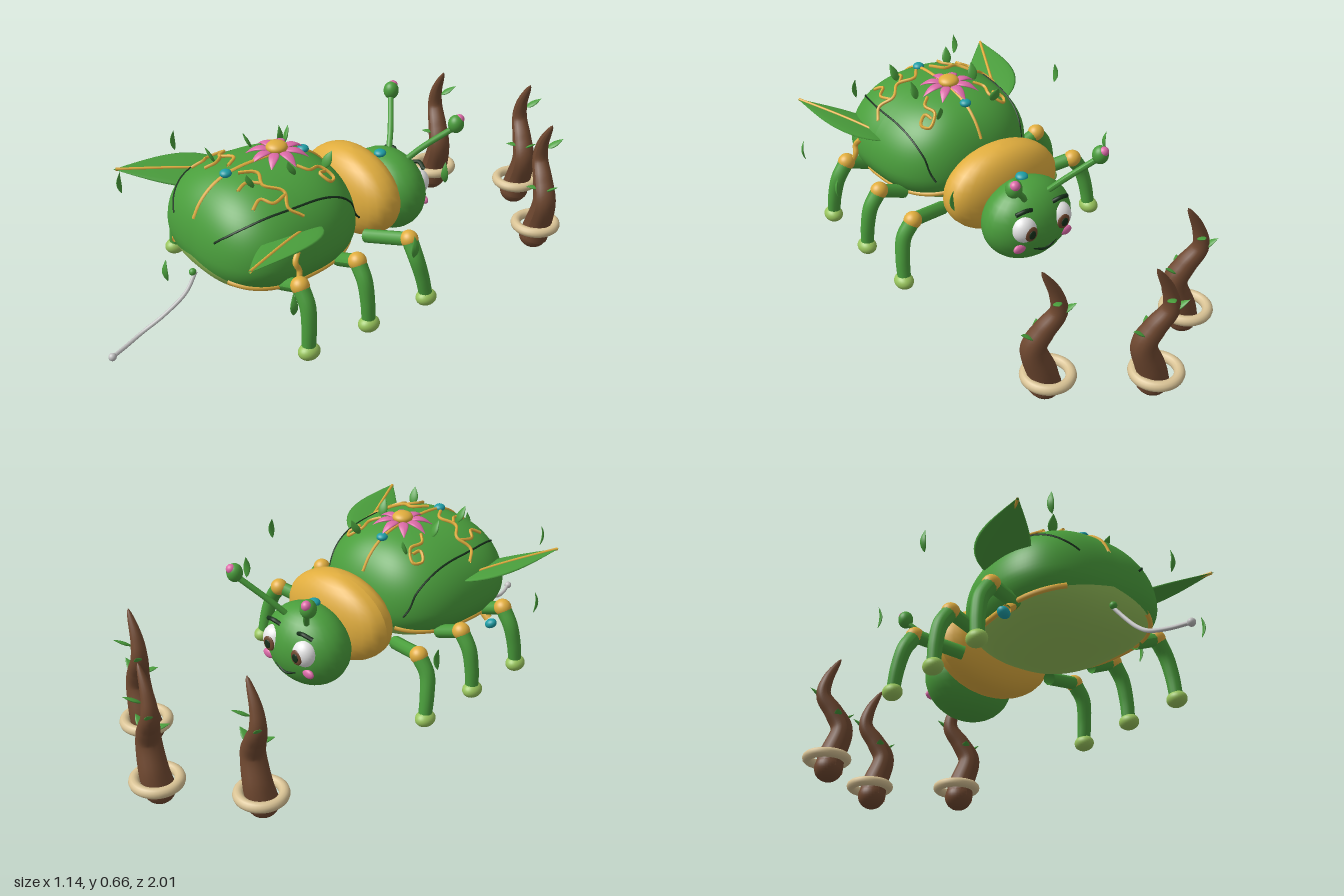
import * as THREE from 'three';

const mat = (name, color) => {
  const m = new THREE.MeshStandardMaterial({ color, side: THREE.DoubleSide });
  m.name = name;
  return m;
};
const V = (x, y, z) => new THREE.Vector3(x, y, z);

export function createModel() {
  const root = new THREE.Group();
  root.name = 'gardenBeetle';
  const green = mat('leaf green', 0x4a9e3c), dark = mat('dark green', 0x16301a), light = mat('light green', 0x98c45c),
    gold = mat('gold', 0xe0ad3e), pink = mat('pink', 0xdc6aa8), teal = mat('teal', 0x1e9ea6),
    brown = mat('brown', 0x6f4830), beige = mat('beige', 0xd8c294), white = mat('white', 0xf2f2f2), silver = mat('silver', 0xc2c2c2);

  const add = (name, geo, m, parent = root) => {
    const mesh = new THREE.Mesh(geo, m);
    mesh.name = name;
    parent.add(mesh);
    return mesh;
  };
  const ball = (name, m, p, rx, ry = rx, rz = rx, parent = root) => {
    const b = add(name, new THREE.SphereGeometry(1, 28, 18), m, parent);
    b.position.set(...p);
    b.scale.set(rx, ry, rz);
    return b;
  };
  // Round tube through points, optionally tapered by a radius rule r(t)
  const tube = (name, m, pts, r, parent = root, seg = 32, sides = 10) => {
    const curve = new THREE.CatmullRomCurve3(pts.map(p => (p.isVector3 ? p : V(...p))));
    const rule = typeof r === 'function' ? r : () => r;
    const g = new THREE.TubeGeometry(curve, seg, 1, sides);
    const pos = g.attributes.position, q = V(0, 0, 0);
    for (let i = 0; i < pos.count; i++) {
      const t = Math.floor(i / (sides + 1)) / seg, c = curve.getPointAt(t);
      q.fromBufferAttribute(pos, i).sub(c).multiplyScalar(rule(t)).add(c);
      pos.setXYZ(i, q.x, q.y, q.z);
    }
    g.computeVertexNormals();
    return add(name, g, m, parent);
  };
  // Pointed lens from a to b, flattened along the normal n; the bent one arches along n
  const swell = (t, k) => Math.sin(Math.PI * Math.pow(t, k));
  const lens = k => new THREE.LatheGeometry(Array.from({ length: 15 }, (_, i) => new THREE.Vector2(Math.max(1e-4, swell(i / 14, k)), i / 14)), 16);
  const leafGeo = lens(0.8), wingGeo = lens(0.68), bentGeo = lens(0.8);
  const bp = bentGeo.attributes.position;
  for (let i = 0; i < bp.count; i++) bp.setZ(i, bp.getZ(i) + 2.4 * Math.sin(Math.PI * bp.getY(i)));
  bentGeo.computeVertexNormals();
  const leaf = (name, m, a, b, n, width, thick, parent = root, geo = leafGeo) => {
    const A = V(...a), d = V(...b).sub(A), len = d.length();
    d.normalize();
    const side = d.clone().cross(V(...n)).normalize(), nn = side.clone().cross(d).normalize();
    const l = add(name, geo, m, parent);
    l.quaternion.setFromRotationMatrix(new THREE.Matrix4().makeBasis(side, d, nn));
    l.position.copy(A);
    l.scale.set(width / 2, len, thick / 2);
    return l;
  };

  // Body surface: u runs round the plan, phi runs from belly to back
  const CY = 0.38, CZ = 0.355, AX = 0.31, AZ = 0.3, N = 2.6, UP = 0.24, DOWN = 0.17;
  const wide = zn => 1 + 0.07 * zn;
  const cx = phi => Math.pow(Math.max(Math.cos(phi), 0), 0.92), cz = phi => Math.pow(Math.max(Math.cos(phi), 0), 0.65);
  const pw = v => Math.sign(v) * Math.pow(Math.abs(v), 2 / N);
  const bodyPoint = (u, phi) => {
    const zn = pw(Math.sin(u));
    return V(AX * pw(Math.cos(u)) * wide(zn) * cx(phi), CY + (phi > 0 ? UP : DOWN) * Math.sin(phi), CZ + AZ * zn * cz(phi));
  };
  const border = u => Math.asin((-0.03 - 0.06 * Math.abs(pw(Math.cos(u)))) / DOWN);
  const shell = (from, to) => {
    const U = 96, W = 28, pos = [], idx = [];
    for (let j = 0; j <= W; j++) for (let i = 0; i <= U; i++) {
      const u = (i / U) * Math.PI * 2, a = from(u), b = to(u);
      pos.push(...bodyPoint(u, a + ((b - a) * j) / W).toArray());
    }
    for (let j = 0; j < W; j++) for (let i = 0; i < U; i++) {
      const a = j * (U + 1) + i, b = a + U + 1;
      idx.push(a, b, a + 1, b, b + 1, a + 1);
    }
    const g = new THREE.BufferGeometry();
    g.setAttribute('position', new THREE.Float32BufferAttribute(pos, 3));
    g.setIndex(idx);
    g.computeVertexNormals();
    return g;
  };
  add('wingCase', shell(border, () => Math.PI / 2), green);
  add('belly', shell(() => -Math.PI / 2, border), light);

  // Lifts a plan point onto the back
  const onBack = (x, z, lift = 0.004) => {
    let lo = 0, hi = Math.PI / 2;
    for (let i = 0; i < 30; i++) {
      const p = (lo + hi) / 2, zn = (z - CZ) / (AZ * cz(p));
      const f = Math.pow(Math.abs(x / (AX * wide(zn) * cx(p))), N) + Math.pow(Math.abs(zn), N);
      if (f < 1) lo = p; else hi = p;
    }
    return V(x, CY + UP * Math.sin(lo) + lift, z);
  };
  const backTube = (name, m, plan, r, lift) => {
    const flat = new THREE.CatmullRomCurve3(plan.map(([x, z]) => V(x, 0, z)));
    return tube(name, m, flat.getSpacedPoints(24).map(p => onBack(p.x, p.z, lift)), r, root, 48, 6);
  };
  backTube('centreSeam', gold, [[0, 0.08], [0, 0.35], [0, 0.635]], 0.006, 0.002);

  for (const s of [-1, 1]) {
    // Seams, rim and vines on the back
    const seam = [[0.195, 0.085], [0.218, 0.16], [0.23, 0.3], [0.23, 0.45], [0.205, 0.555], [0.165, 0.61], [0.125, 0.636]];
    backTube('sideSeam', dark, seam.map(([x, z]) => [s * x, z]), 0.004, 0.001);
    const rim = [];
    for (let i = 0; i <= 30; i++) {
      const u = -1.1 + (i / 30) * 2.2, p = bodyPoint(u, border(u));
      rim.push(V(s * p.x, p.y, p.z));
    }
    tube('rim', gold, rim, 0.01, root, 60, 8);
    const vines = [
      [[0.26, 0.37], [0.23, 0.41], [0.18, 0.39], [0.13, 0.44], [0.07, 0.42], [0.03, 0.47]],
      [[0.19, 0.39], [0.2, 0.45], [0.17, 0.48], [0.185, 0.52]],
      [[0.12, 0.44], [0.09, 0.48], [0.1, 0.52]],
      [[0.1, 0.28], [0.13, 0.25], [0.12, 0.2], [0.16, 0.17], [0.18, 0.2], [0.15, 0.22], [0.14, 0.19]],
    ];
    vines.forEach(v => backTube('vine', gold, v.map(([x, z]) => [s * x, z]), 0.006, 0.005));
    for (const [x, z, dx, dz] of [[0.125, 0.31, 0.008, 0.03], [0.11, 0.47, 0.015, 0.03], [0.115, 0.18, 0.012, -0.03]]) {
      const p = onBack(s * x, z);
      leaf('backLeaf', green, [p.x, p.y - 0.01, p.z], [p.x + s * dx, p.y + 0.055, p.z + dz], [s * 0.3, 0, 1], 0.036, 0.012);
    }

    // Leaf wings with a midrib
    const a = [s * 0.24, 0.46, 0.31], b = [s * 0.42, 0.515, 0.7], n = [-s * 0.28, 1, -0.05];
    leaf('leafWing', green, a, b, n, 0.19, 0.02, root, wingGeo);
    const ribPoint = t => V(...a).lerp(V(...b), t).addScaledVector(V(...n).normalize(), 0.01 * swell(t, 0.68));
    tube('wingRib', gold, [0.08, 0.25, 0.4, 0.55, 0.8, 0.98].map(ribPoint), 0.0055);

    // Legs: thigh, gold knee, bowed shin, foot
    for (const [z0, z1, z2, x0] of [[0.05, -0.01, -0.04, 0.19], [0.22, 0.22, 0.22, 0.25], [0.46, 0.46, 0.475, 0.25]]) {
      const leg = new THREE.Group();
      leg.name = 'leg';
      root.add(leg);
      const mid = V(s * x0, 0.29, z0).lerp(V(s * 0.36, 0.335, z1), 0.72).toArray();
      tube('thigh', green, [[s * x0, 0.29, z0], mid, [s * 0.36, 0.335, z1]], 0.025, leg, 8);
      ball('knee', gold, [s * 0.355, 0.334, z1], 0.033, 0.032, 0.032, leg);
      tube('shin', green, [[s * 0.362, 0.325, z1], [s * 0.395, 0.275, z1], [s * 0.412, 0.2, (z1 + z2) / 2], [s * 0.418, 0.12, z2]], t => 0.029 - 0.005 * t, leg, 20, 14);
      ball('foot', light, [s * 0.42, 0.114, z2], 0.034, 0.029, 0.04, leg);
    }

    // Antenna with a budded tip
    tube('antenna', green, [[s * 0.045, 0.43, -0.25], [s * 0.09, 0.49, -0.295], [s * 0.18, 0.585, -0.37]], 0.011);
    ball('antennaTip', green, [s * 0.182, 0.598, -0.373], 0.029, 0.034, 0.029);
    ball('antennaBud', pink, [s * 0.186, 0.615, -0.385], 0.018, 0.018, 0.018);

    // Face
    ball('eye', white, [s * 0.075, 0.345, -0.288], 0.048, 0.052, 0.044);
    ball('iris', brown, [s * 0.07, 0.34, -0.326], 0.026, 0.029, 0.008);
    ball('pupil', dark, [s * 0.07, 0.34, -0.333], 0.014, 0.017, 0.004);
    tube('brow', dark, [[s * 0.045, 0.412, -0.29], [s * 0.075, 0.422, -0.297], [s * 0.11, 0.412, -0.288]], 0.008);
    ball('cheek', pink, [s * 0.1, 0.275, -0.3], 0.026, 0.018, 0.012);
  }

  // Collar with a broad rounded rim, head and mouth
  const collar = ball('collar', gold, [0, 0.372, -0.04], 0.232, 0.163, 0.106);
  const cp = collar.geometry.attributes.position;
  for (let i = 0; i < cp.count; i++) cp.setZ(i, Math.sign(cp.getZ(i)) * Math.pow(Math.abs(cp.getZ(i)), 0.8));
  collar.geometry.computeVertexNormals();
  ball('head', green, [0, 0.318, -0.2], 0.175, 0.153, 0.128);
  tube('mouth', dark, [[-0.05, 0.265, -0.31], [0, 0.247, -0.316], [0.05, 0.265, -0.31]], 0.005);

  // Teal beads
  ball('bead', teal, [0, 0.47, -0.17], 0.023, 0.014, 0.023);
  for (const z of [0.18, 0.5]) ball('bead', teal, onBack(0, z, 0.006).toArray(), 0.021, 0.014, 0.021);

  // Flower on the back with arched petals
  for (let i = 0; i < 8; i++) {
    const c = Math.cos((i * Math.PI) / 4), d = Math.sin((i * Math.PI) / 4);
    leaf('petal', pink, [c * 0.015, 0.632, 0.29 + d * 0.015], [c * 0.112, 0.612, 0.29 + d * 0.112], [0, 1, 0], 0.036, 0.012, root, bentGeo);
  }
  ball('flowerCentre', gold, [0, 0.645, 0.29], 0.038, 0.021, 0.038);

  // Hanging charm and side tendril
  tube('charmLink', gold, [[-0.25, 0.295, 0.46], [-0.292, 0.262, 0.46]], 0.016);
  ball('charm', teal, [-0.306, 0.245, 0.46], 0.024, 0.018, 0.021).rotation.z = -0.6;
  tube('tendril', gold, [[0.305, 0.43, 0.43], [0.318, 0.4, 0.45], [0.325, 0.37, 0.44], [0.335, 0.335, 0.45]], 0.01);

  // Trailing cord
  ball('cordRoot', green, [-0.004, 0.28, 0.65], 0.013);
  tube('cord', silver, [[0, 0.28, 0.64], [0.01, 0.22, 0.69], [-0.01, 0.15, 0.77], [-0.03, 0.1, 0.85], [-0.015, 0.085, 0.92], [0.01, 0.085, 0.985]], 0.007);
  ball('cordEnd', silver, [0.01, 0.085, 0.986], 0.014);

  // Drifting leaves, each with its own facing
  for (const [x, y, z, nx, nz] of [[0.31, 0.51, -0.21, 0.5, 0.8], [-0.48, 0.39, -0.055, 1, 0.2], [0.555, 0.46, 0.145, 1, 0.3], [-0.555, 0.47, 0.37, -1, 0.3],
    [0.47, 0.37, 0.57, 1, 0.4], [-0.31, 0.52, 0.73, -0.9, 0.4], [0.11, 0.41, 0.81, 0.3, 1]])
    leaf('driftingLeaf', green, [x, y - 0.042, z], [x, y + 0.042, z], [nx, 0, nz], 0.026, 0.008, root, bentGeo);

  // Twisted roots with rings and sprouts
  for (const [x, z] of [[-0.01, -0.91], [-0.31, -0.72], [0.29, -0.72]]) {
    const g = new THREE.Group();
    g.name = 'twistedRoot';
    g.position.set(x, 0, z);
    root.add(g);
    tube('root', brown, [[0.005, 0.055, 0.01], [0.02, 0.12, 0.005], [0.05, 0.23, 0.015], [0.02, 0.3, 0], [-0.02, 0.37, -0.02], [-0.01, 0.44, -0.015], [0.04, 0.54, -0.005]],
      t => 0.055 * Math.pow(1 - t, 0.6) + 0.001, g, 48, 14);
    ball('rootFoot', brown, [0.004, 0.06, 0.01], 0.055, 0.053, 0.055, g);
    const ring = add('ring', new THREE.TorusGeometry(0.076, 0.019, 12, 40), beige, g);
    ring.rotation.x = Math.PI / 2;
    ring.position.y = 0.103;
    leaf('sprout', green, [0, 0.42, -0.03], [0.03, 0.455, -0.085], [0, 1, 0.4], 0.03, 0.01, g);
    leaf('sprout', green, [0.05, 0.27, 0.01], [0.105, 0.31, 0.01], [-0.5, 1, 0], 0.035, 0.01, g);
    leaf('sprout', green, [-0.02, 0.36, -0.02], [-0.06, 0.41, -0.06], [0.4, 1, 0], 0.03, 0.01, g);
    leaf('sprout', green, [0.03, 0.28, 0.02], [0, 0.29, 0.07], [0, 1, 0], 0.03, 0.01, g);
  }
  return root;
}
